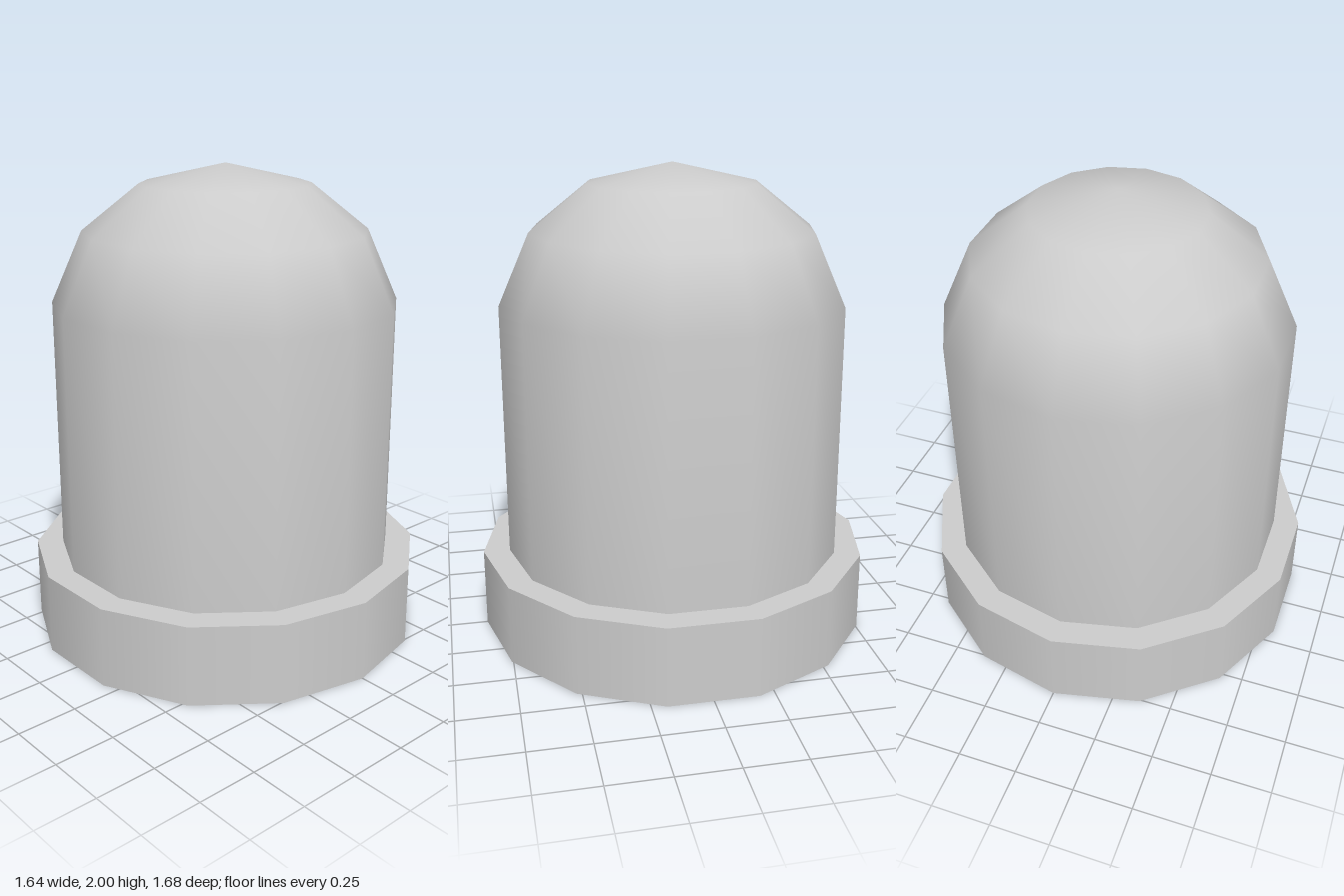
import * as THREE from 'three';

const SIDES = 14;
const BASE_HEIGHT = 0.34;

export function createModel() {
  const group = new THREE.Group();
  const material = new THREE.MeshStandardMaterial({ color: 0xcccccc });

  // Flange: a wide, flat-topped disc
  const flange = new THREE.Mesh(
    new THREE.CylinderGeometry(0.84, 0.84, BASE_HEIGHT, SIDES), material);
  flange.name = 'baseFlange';
  flange.position.y = BASE_HEIGHT / 2;
  group.add(flange);

  // Straight wall running smoothly into a rounded dome
  const profile = [
    [0.727, BASE_HEIGHT], [0.727, 1.43], [0.595, 1.727], [0.355, 1.918], [0, 2],
  ].map(([r, y]) => new THREE.Vector2(r, y));
  const domeGeometry = new THREE.LatheGeometry(profile, SIDES);

  // Smooth the tip and keep the foot of the wall vertical
  const { position, normal } = domeGeometry.attributes;
  for (let i = 0; i < position.count; i++) {
    if (position.getY(i) > 1.99) normal.setXYZ(i, 0, 1, 0);
  }
  const dome = new THREE.Mesh(domeGeometry, material);
  dome.name = 'domedBody';
  group.add(dome);

  return group;
}
